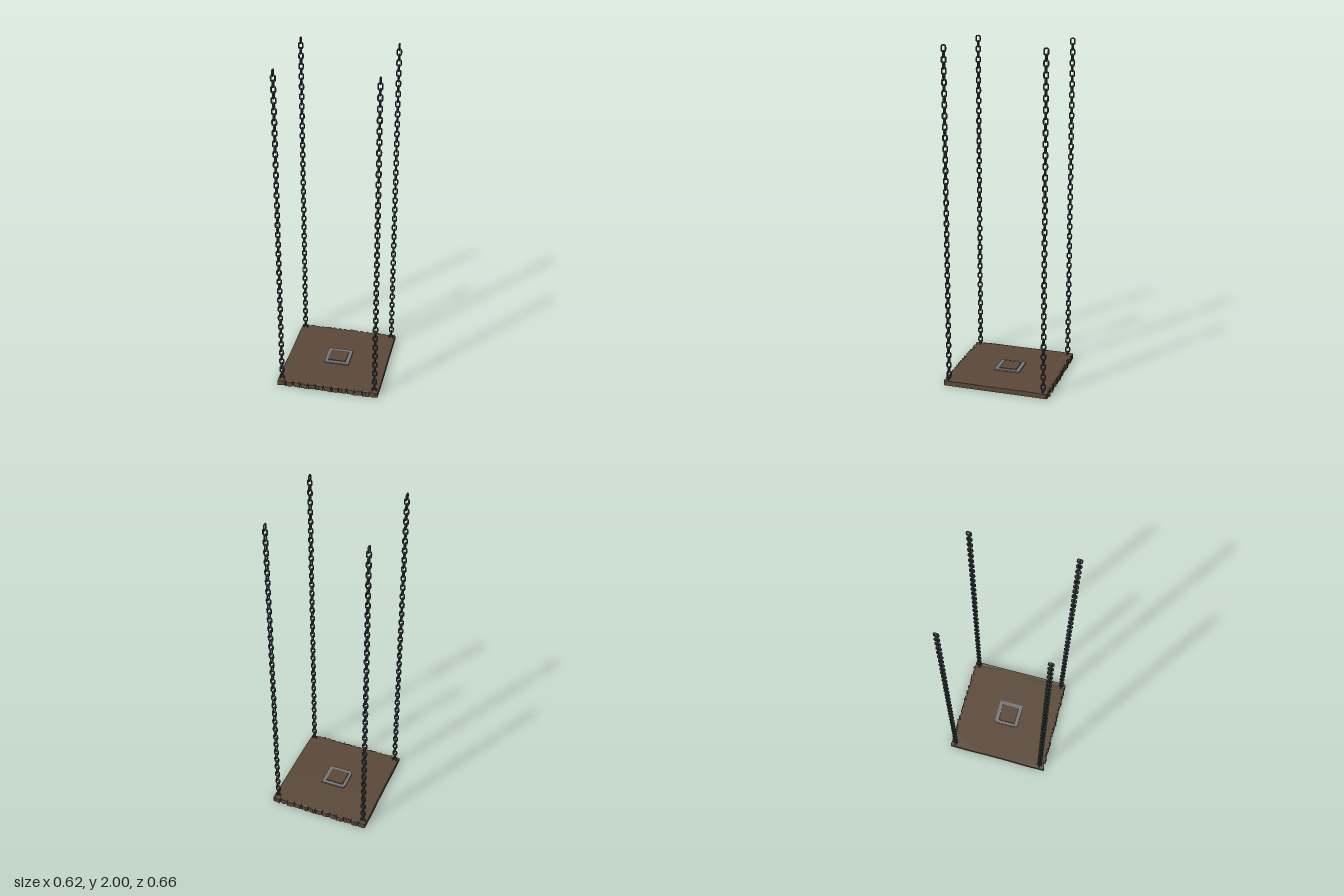
import * as THREE from 'three';
import { mergeGeometries } from 'three/addons/utils/BufferGeometryUtils.js';

const paint = (color, flatShading = false) => new THREE.MeshStandardMaterial({ color, flatShading });

function seeded(seed) {
  return () => {
    seed = (seed * 16807) % 2147483647;
    return seed / 2147483647;
  };
}

// Rounded rectangle loop swept by a thin round bar
function linkGeometry() {
  const w = 0.012, h = 0.0178, c = 0.008;
  const points = [];
  for (const [sx, sy, start] of [[1, 1, 0], [-1, 1, 1], [-1, -1, 2], [1, -1, 3]]) {
    for (const t of [0, 0.5, 1]) {
      const a = (start + t) * Math.PI / 2;
      points.push(new THREE.Vector3(sx * (w - c) + c * Math.cos(a), sy * (h - c) + c * Math.sin(a), 0));
    }
  }
  const path = new THREE.CurvePath();
  points.forEach((p, i) => path.add(new THREE.LineCurve3(p, points[(i + 1) % points.length])));
  return new THREE.TubeGeometry(path, 20, 0.0048, 6, true);
}

// Links alternate by a quarter turn down the chain
function chainGeometry() {
  const link = linkGeometry();
  const links = [];
  for (let i = 0; i < 64; i++) {
    const g = link.clone();
    if (i % 2 === 0) g.rotateY(Math.PI / 2);
    g.translate(0, 1.9774 - i * 0.0309, 0);
    links.push(g);
  }
  return mergeGeometries(links);
}

// Flat outline in x and z, extruded upwards
function slab(shape, bottom, height) {
  const g = new THREE.ExtrudeGeometry(shape, { depth: height, bevelEnabled: false });
  g.rotateX(-Math.PI / 2);
  g.translate(0, bottom, 0);
  return g;
}

// One splintered end: thirteen plank tips parted by narrow slits
function plankEnds(rand, side) {
  const points = [];
  const count = 13, width = 0.62 / count, root = 0.307, gap = 0.0017;
  for (let i = 0; i < count; i++) {
    const a = -0.31 + i * width + (i ? gap : 0);
    const b = -0.31 + (i + 1) * width - (i < count - 1 ? gap : 0);
    if (i) points.push([a, root]);
    const base = 0.319 + rand() * 0.006;
    for (const t of [0.02, 0.3, 0.55, 0.8, 0.98]) {
      const edge = t < 0.1 || t > 0.9;
      points.push([a + (b - a) * t, base + (rand() - 0.5) * (edge ? 0.013 : 0.006)]);
    }
    if (i < count - 1) points.push([b, root]);
  }
  return points.map(([x, d]) => new THREE.Vector2(x * side, d * side));
}

function boardGeometry() {
  const rand = seeded(731);
  const outline = [];
  for (const side of [1, -1]) {
    // ends run right to left, long sides wander slightly
    outline.push(...plankEnds(rand, -side));
    for (const y of [-0.2, -0.06, 0.07, 0.21]) {
      outline.push(new THREE.Vector2(side * -1 * (0.308 + rand() * 0.004), side * y));
    }
  }
  const g = slab(new THREE.Shape(outline), 0, 0.03);
  // Chip the upper edge of the plank tips
  const p = g.attributes.position;
  for (let i = 0; i < p.count; i++) {
    const x = p.getX(i), z = p.getZ(i);
    if (p.getY(i) > 0.02 && Math.abs(z) > 0.31) {
      const chip = 0.5 + 0.5 * Math.sin(x * 173 + z * 90);
      p.setY(i, 0.03 - chip * 0.004);
      p.setZ(i, z - Math.sign(z) * chip * 0.006);
    }
  }
  g.computeVertexNormals();
  return g;
}

// Square with a cut on each corner; left corners are more worn
function wornSquare(x0, x1, z0, z1, cutLeft, cutRight) {
  return new THREE.Shape([
    [x0 + cutLeft, z0], [x1 - cutRight, z0], [x1, z0 + cutRight], [x1, z1 - cutRight],
    [x1 - cutRight, z1], [x0 + cutLeft, z1], [x0 + cutLeft * 0.25, z1 - cutLeft],
    [x0, z1 - cutLeft * 3], [x0 + cutLeft * 0.3, z0 + cutLeft],
  ].map(([x, z]) => new THREE.Vector2(x, z)));
}

export function createModel() {
  const group = new THREE.Group();
  const add = (name, geometry, material, parent = group) => {
    const mesh = new THREE.Mesh(geometry, material);
    mesh.name = name;
    parent.add(mesh);
    return mesh;
  };

  const wood = paint(0x5c4a3a, true);
  const stone = paint(0x77787a, true);
  const iron = paint(0x45494d);

  add('plankBoard', boardGeometry(), wood);

  // Grey square border around a raised wooden panel
  const border = wornSquare(-0.078, 0.079, -0.076, 0.08, 0.011, 0.001);
  border.holes.push(new THREE.Path([[-0.057, -0.053], [-0.057, 0.057], [0.057, 0.057], [0.057, -0.053]]
    .map(([x, z]) => new THREE.Vector2(x, z))));
  add('centreBorder', slab(border, 0.028, 0.01), stone);
  add('centrePanel', slab(wornSquare(-0.056, 0.056, -0.052, 0.056, 0.002, 0.002), 0.028, 0.014), wood);

  // Four corner chains
  const chains = new THREE.Group();
  chains.name = 'chains';
  group.add(chains);
  const chain = chainGeometry();
  for (const [name, x, z] of [
    ['frontLeftChain', 0.285, 0.289], ['frontRightChain', -0.286, 0.289],
    ['backLeftChain', 0.285, -0.289], ['backRightChain', -0.286, -0.289],
  ]) add(name, chain, iron, chains).position.set(x, 0, z);

  return group;
}
